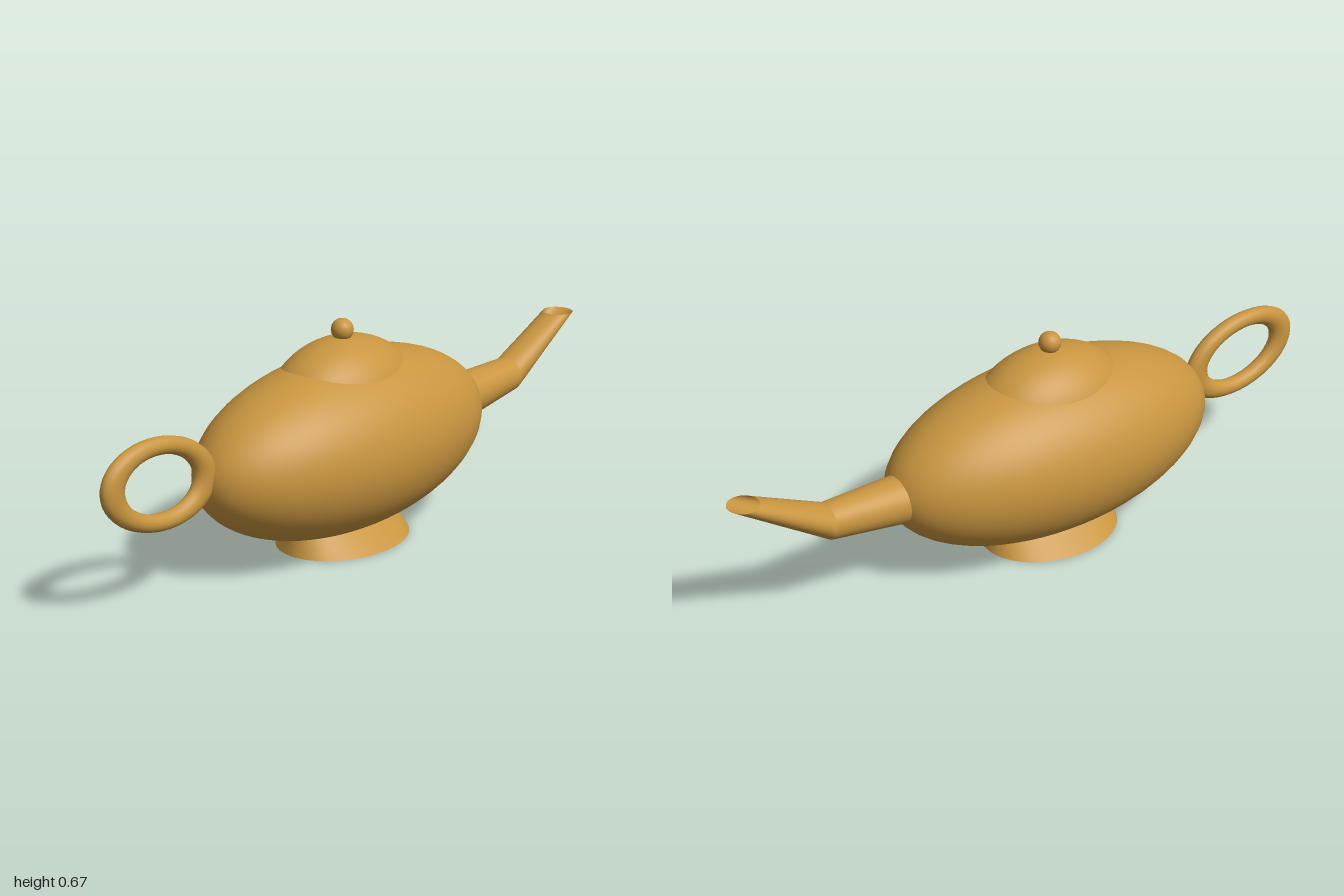
import * as THREE from 'three';

const CX = -0.067; // centre of the pot in x

// Surface through elliptical rings { c: centre, u, v: half axes }, running along u x v
function loft(rings, n = 40) {
  const pos = [], idx = [];
  rings.forEach(({ c, u, v }) => {
    for (let j = 0; j < n; j++) {
      const t = (j / n) * Math.PI * 2, a = Math.cos(t), b = Math.sin(t);
      for (let k = 0; k < 3; k++) pos.push(c[k] + u[k] * a + v[k] * b);
    }
  });
  for (let i = 0; i < rings.length - 1; i++) {
    for (let j = 0; j < n; j++) {
      const a = i * n + j, b = i * n + (j + 1) % n;
      idx.push(a, b, b + n, a, b + n, a + n);
    }
  }
  const g = new THREE.BufferGeometry();
  g.setAttribute('position', new THREE.Float32BufferAttribute(pos, 3));
  g.setIndex(idx);
  g.computeVertexNormals();
  return g;
}

export function createModel() {
  const group = new THREE.Group();
  const brass = new THREE.MeshStandardMaterial({ color: 0xc8953f, side: THREE.DoubleSide });
  brass.name = 'brass';

  const add = (name, geometry) => {
    const mesh = new THREE.Mesh(geometry, brass);
    mesh.name = name;
    group.add(mesh);
    return mesh;
  };

  // Body: long ellipsoid, cut flat where the foot begins
  const footTop = 0.056, bodyY = 0.3, bodyR = 0.263;
  const cut = Math.acos((footTop - bodyY) / bodyR);
  add('body', new THREE.SphereGeometry(1, 48, 32, 0, Math.PI * 2, 0, cut)
    .scale(0.555, bodyR, bodyR).translate(CX, bodyY, 0));

  // Foot: flares from the cut of the body to a wider oval base
  const s = Math.sin(cut);
  add('foot', loft([
    { c: [CX, 0, 0], u: [0, 0, 0.175], v: [0.222, 0, 0] },
    { c: [CX, footTop, 0], u: [0, 0, bodyR * s], v: [0.555 * s, 0, 0] },
  ]));
  add('footBase', new THREE.CircleGeometry(1, 40).rotateX(Math.PI / 2)
    .scale(0.222, 1, 0.175).translate(CX, 0, 0));

  // Lid: domed cap sunk into the body, with a ball knob
  add('lid', new THREE.SphereGeometry(1, 40, 16, 0, Math.PI * 2, 0, Math.PI / 2)
    .scale(0.26, 0.19, 0.175).translate(CX, 0.423, 0));
  add('knob', new THREE.SphereGeometry(0.033, 24, 16).translate(CX, 0.633, 0));

  // Spout: two tapering sections with a sharp elbow and a level open mouth
  const root = { c: [0.43, 0.296, 0], u: [0, 0.074, 0], v: [0, 0, 0.075] };
  const elbow = { c: [0.7, 0.317, 0], u: [-0.005, 0.053, 0], v: [0, 0, 0.057] };
  const mouth = { c: [0.954, 0.467, 0], u: [-0.046, 0, 0], v: [0, 0, 0.048] };
  add('lowerSpout', loft([root, elbow]));
  add('upperSpout', loft([elbow, mouth]));

  // Handle: stretched, slightly tilted ring
  const handle = add('handle', new THREE.TorusGeometry(0.108, 0.025, 16, 48).scale(1.57, 1, 1));
  handle.position.set(-0.793, 0.363, 0);
  handle.rotation.z = -0.18;

  return group;
}
